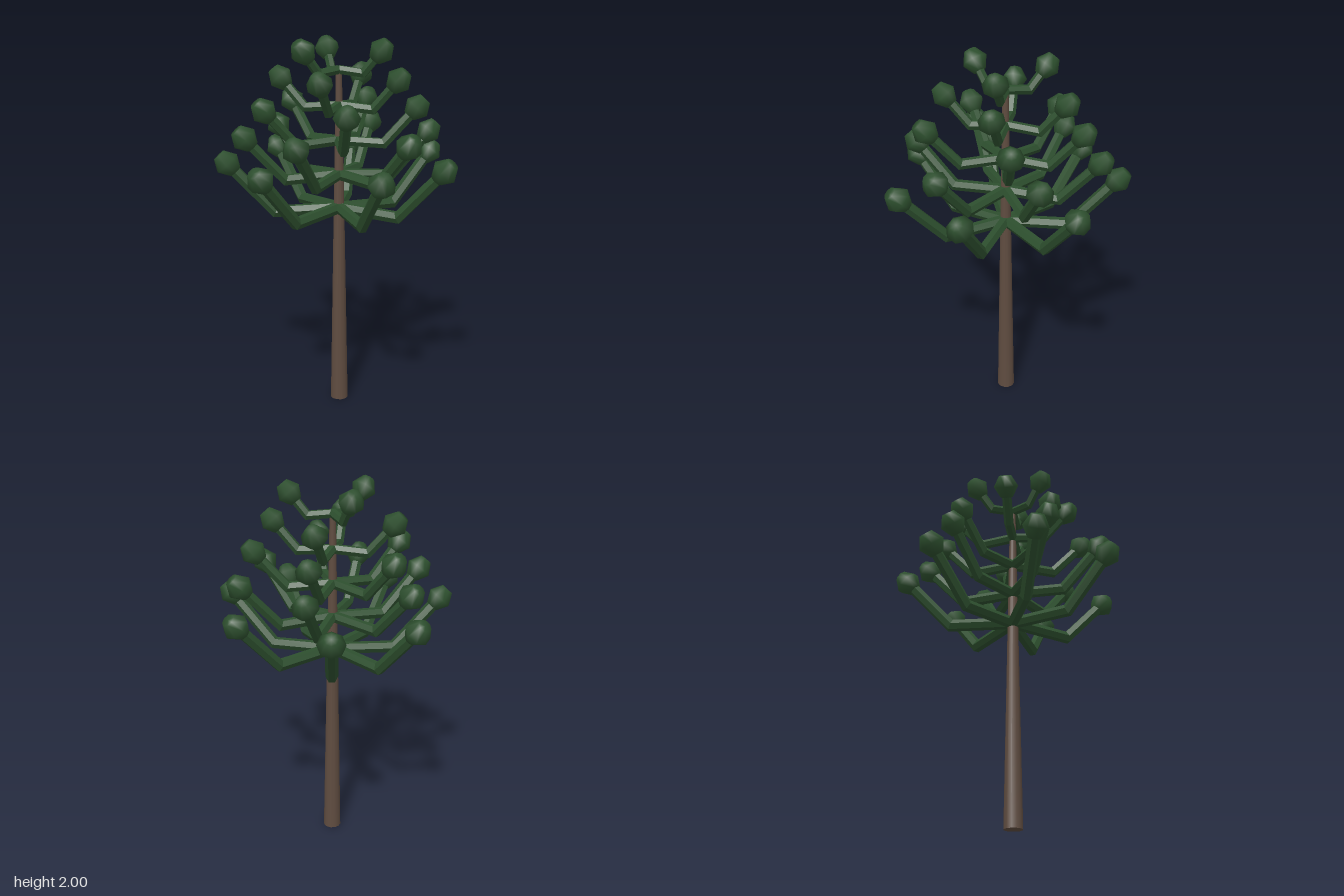
import * as THREE from 'three';

const TRUNK_X = -0.02, TRUNK_Z = 0.02;

// Bearing of every branch in degrees, from +x towards +z, lowest tier first
const TIERS = [
  [9.4, 53.4, 112.5, 159, 215.6, 260.2, 313],
  [30.3, 97, 149, 209.5, 274.5, 329.5],
  [67.7, 141, 213, 275.7, 345],
  [0, 90, 177, 275.5],
  [0, 125, 236.5],
];

// Bent six-sided limb in the xy plane with a mitred elbow
function limbGeometry(path, radius) {
  const geo = new THREE.CylinderGeometry(1, 1, 1, 6, path.length - 1);
  const pos = geo.attributes.position;
  const dirs = path.slice(1).map((p, i) => p.clone().sub(path[i]).normalize());
  const last = path.length - 1;
  for (let i = 0; i < pos.count; i++) {
    const row = Math.round((pos.getY(i) + 0.5) * last);
    const a = dirs[Math.max(row - 1, 0)], b = dirs[Math.min(row, last - 1)];
    const along = a.clone().add(b).normalize();
    const across = -pos.getX(i) * radius / along.dot(b);
    pos.setXYZ(i,
      path[row].x - along.y * across,
      path[row].y + along.x * across,
      pos.getZ(i) * radius);
  }
  const flat = geo.toNonIndexed();
  flat.computeVertexNormals();
  return flat;
}

// Chunky rounded tuft with blunt ends along its axis
function tuftGeometry(r) {
  const profile = [[0, -0.87], [0.5, -0.87], [1, 0], [0.5, 0.87], [0, 0.87]];
  return new THREE.LatheGeometry(profile.map(([x, y]) => new THREE.Vector2(x * r, y * r)), 8);
}

export function createModel() {
  const model = new THREE.Group();
  model.name = 'tree';
  const bark = new THREE.MeshStandardMaterial({ name: 'bark brown', color: 0x5f4c40 });
  const green = new THREE.MeshStandardMaterial({ name: 'needle green', color: 0x2d4f2e });

  // Tapering trunk
  const trunk = new THREE.Mesh(new THREE.CylinderGeometry(0.016, 0.049, 1.85, 12), bark);
  trunk.name = 'trunk';
  trunk.position.set(TRUNK_X, 0.925, TRUNK_Z);
  model.add(trunk);

  // Tiers of upturned branches, shorter and thinner towards the top
  TIERS.forEach((bearings, t) => {
    const reach = 0.582 - t * 0.09;
    const elbowY = 1.1 + t * 0.181;
    const tipY = 1.363 + t * 0.143;
    const path = [
      new THREE.Vector2(0, elbowY + 0.015),
      new THREE.Vector2(reach * 0.58, elbowY),
      new THREE.Vector2(reach, tipY),
    ];
    const limb = limbGeometry(path, 0.032 - t * 0.002);
    const tuft = tuftGeometry(0.07 - t * 0.001);
    const lean = Math.atan2(tipY - elbowY, reach * 0.42) - Math.PI / 2;

    const tier = new THREE.Group();
    tier.name = `branchTier${t + 1}`;
    tier.position.set(TRUNK_X, 0, TRUNK_Z);
    for (const bearing of bearings) {
      const branch = new THREE.Group();
      branch.name = 'branch';
      branch.rotation.y = -THREE.MathUtils.degToRad(bearing);
      const limbMesh = new THREE.Mesh(limb, green);
      limbMesh.name = 'limb';
      const tuftMesh = new THREE.Mesh(tuft, green);
      tuftMesh.name = 'tuft';
      tuftMesh.position.set(reach, tipY, 0);
      tuftMesh.rotation.z = lean;
      branch.add(limbMesh, tuftMesh);
      tier.add(branch);
    }
    model.add(tier);
  });
  return model;
}
